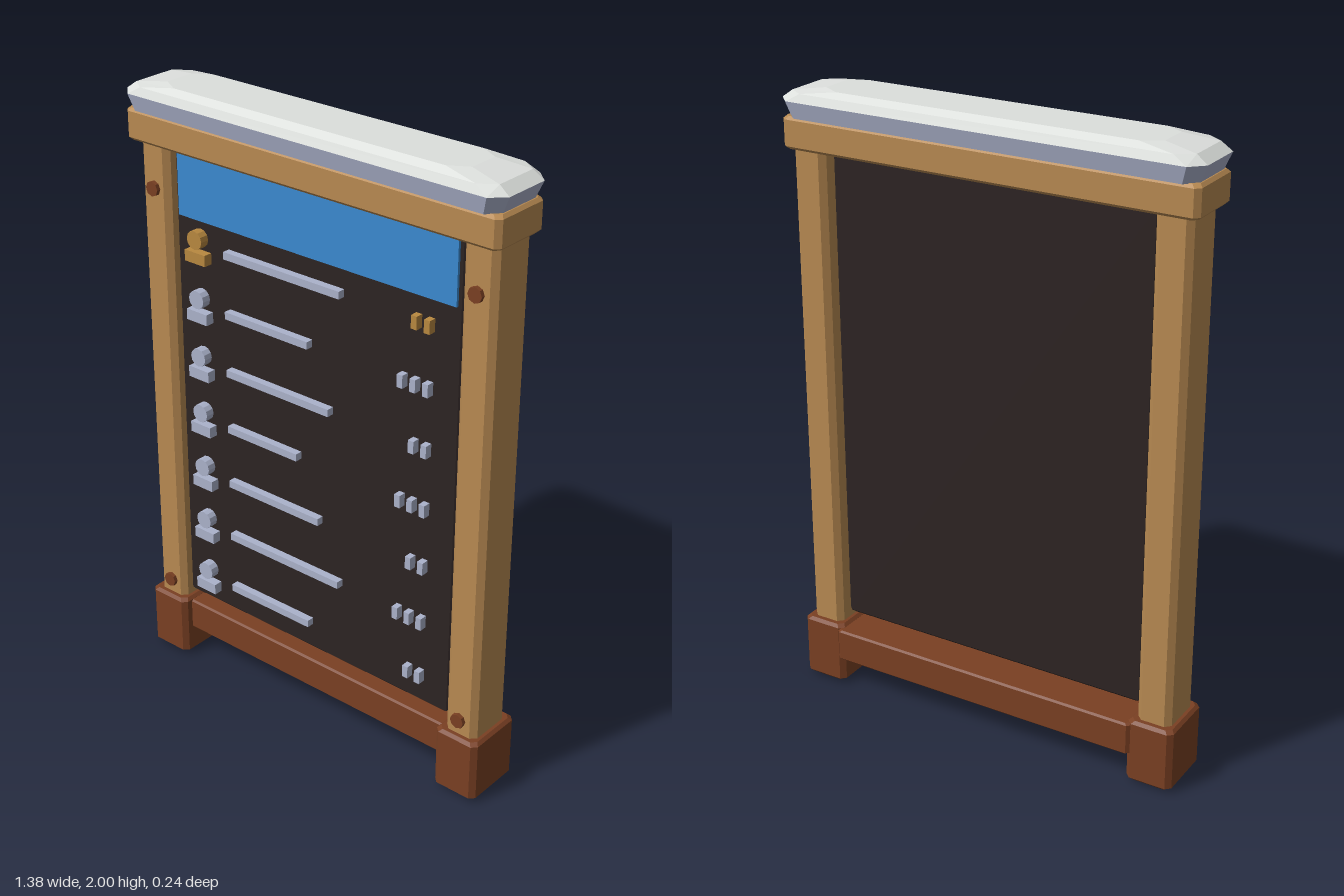
import * as THREE from 'three';

const paint = (name, color) => new THREE.MeshStandardMaterial({ name, color, flatShading: true });

// Stacked eight-sided rings [y, halfX, halfZ, cornerX, cornerZ], skinned and capped
function loft(rings) {
  const loops = rings.map(([y, hx, hz, cx, cz = cx]) => [
    [hx, hz - cz], [hx, cz - hz], [hx - cx, -hz], [cx - hx, -hz],
    [-hx, cz - hz], [-hx, hz - cz], [cx - hx, hz], [hx - cx, hz],
  ].map(([x, z]) => [x, y, z]));
  const pos = [];
  const tri = (a, b, c) => pos.push(...a, ...b, ...c);
  for (let r = 0; r < loops.length - 1; r++) {
    for (let i = 0; i < 8; i++) {
      const j = (i + 1) % 8, lo = loops[r], hi = loops[r + 1];
      tri(lo[i], lo[j], hi[j]);
      tri(lo[i], hi[j], hi[i]);
    }
  }
  const bottom = loops[0], top = loops[loops.length - 1];
  for (let i = 1; i < 7; i++) {
    tri(top[0], top[i], top[i + 1]);
    tri(bottom[0], bottom[i + 1], bottom[i]);
  }
  const geo = new THREE.BufferGeometry();
  geo.setAttribute('position', new THREE.Float32BufferAttribute(pos, 3));
  geo.computeVertexNormals();
  return geo;
}

// Box with every edge chamfered by c
function chamferBox(x0, x1, y0, y1, z0, z1, c) {
  const hx = (x1 - x0) / 2, hz = (z1 - z0) / 2, e = c * 0.6;
  return loft([
    [y0, hx - e, hz - e, c], [y0 + e, hx, hz, c],
    [y1 - e, hx, hz, c], [y1, hx - e, hz - e, c],
  ]).translate((x0 + x1) / 2, 0, (z0 + z1) / 2);
}

function box(x0, x1, y0, y1, z0, z1) {
  return new THREE.BoxGeometry(x1 - x0, y1 - y0, z1 - z0)
    .translate((x0 + x1) / 2, (y0 + y1) / 2, (z0 + z1) / 2);
}

function disc(x, y, z0, z1, r, sides) {
  return new THREE.CylinderGeometry(r, r, z1 - z0, sides)
    .rotateX(Math.PI / 2).translate(x, y, (z0 + z1) / 2);
}

export function createModel() {
  const wood = paint('light wood', 0xb88a52);
  const redwood = paint('red wood', 0x7a4023);
  const dark = paint('dark board', 0x2d2423);
  const blue = paint('header blue', 0x3b8ad0);
  const silver = paint('silver lavender', 0xabb2cb);
  const gold = paint('gold', 0xb98940);
  const white = paint('roof white', 0xdde0dd);

  const model = new THREE.Group();
  model.name = 'noticeBoard';
  const add = (name, geo, mat, parent = model) => {
    const mesh = new THREE.Mesh(geo, mat);
    mesh.name = name;
    parent.add(mesh);
    return mesh;
  };

  // Posts, feet and bolts on each side
  for (const [side, s] of [['left', 1], ['right', -1]]) {
    const frame = new THREE.Group();
    frame.name = side + 'Support';
    model.add(frame);
    const span = (a, b) => (s > 0 ? [a, b] : [-b, -a]);
    add('post', chamferBox(...span(0.545, 0.658), 0, 1.83, -0.088, 0.073, 0.018), wood, frame);
    add('foot', chamferBox(...span(0.525, 0.678), 0.008, 0.22, -0.112, 0.095, 0.016), redwood, frame);
    for (const y of [0.272, 1.665]) {
      add('bolt', disc(s * 0.6, y, 0.06, 0.086, 0.024, 8), redwood, frame);
    }
  }

  // Rails
  add('bottomRail', chamferBox(-0.54, 0.54, 0.1, 0.21, -0.121, 0.06, 0.01), redwood);
  add('topBeam', chamferBox(-0.682, 0.682, 1.81, 1.91, -0.105, 0.105, 0.016), wood);

  // Roof: flared lower edge and faceted cap
  add('roofEdge', loft([
    [1.908, 0.668, 0.108, 0.036], [1.96, 0.69, 0.12, 0.042],
  ]), silver);
  add('roofCap', loft([
    [1.96, 0.69, 0.12, 0.042], [1.985, 0.655, 0.109, 0.05, 0.035],
    [2.0, 0.55, 0.085, 0.06, 0.035],
  ]), white);

  // Panel with header
  add('panel', chamferBox(-0.545, 0.545, 0.245, 1.82, -0.045, 0.045, 0.014), dark);
  add('header', box(-0.52, 0.52, 1.595, 1.815, 0.045, 0.054), blue);

  // Rows of entries: [bar end, tally count]
  const rows = [[0.12, 2], [0, 3], [0.08, 2], [-0.045, 3], [0.04, 2], [0.12, 3], [0, 2]];
  rows.forEach(([barEnd, count], i) => {
    const y = 1.52 - i * 0.195;
    const accent = i === 0 ? gold : silver;
    const row = new THREE.Group();
    row.name = 'entryRow';
    model.add(row);
    add('iconHead', disc(-0.44, y + 0.018, 0.04, 0.075, 0.03, 12), accent, row);
    add('iconBody', box(-0.481, -0.399, y - 0.057, y - 0.021, 0.04, 0.075), accent, row);
    add('entryBar', box(-0.326, barEnd, y - 0.013, y + 0.011, 0.04, 0.07), silver, row);
    for (let k = 0; k < count; k++) {
      const x = 0.434 - k * 0.045;
      add('tallyMark', box(x - 0.01, x + 0.01, y - 0.024, y + 0.017, 0.04, 0.07), accent, row);
    }
  });

  return model;
}
